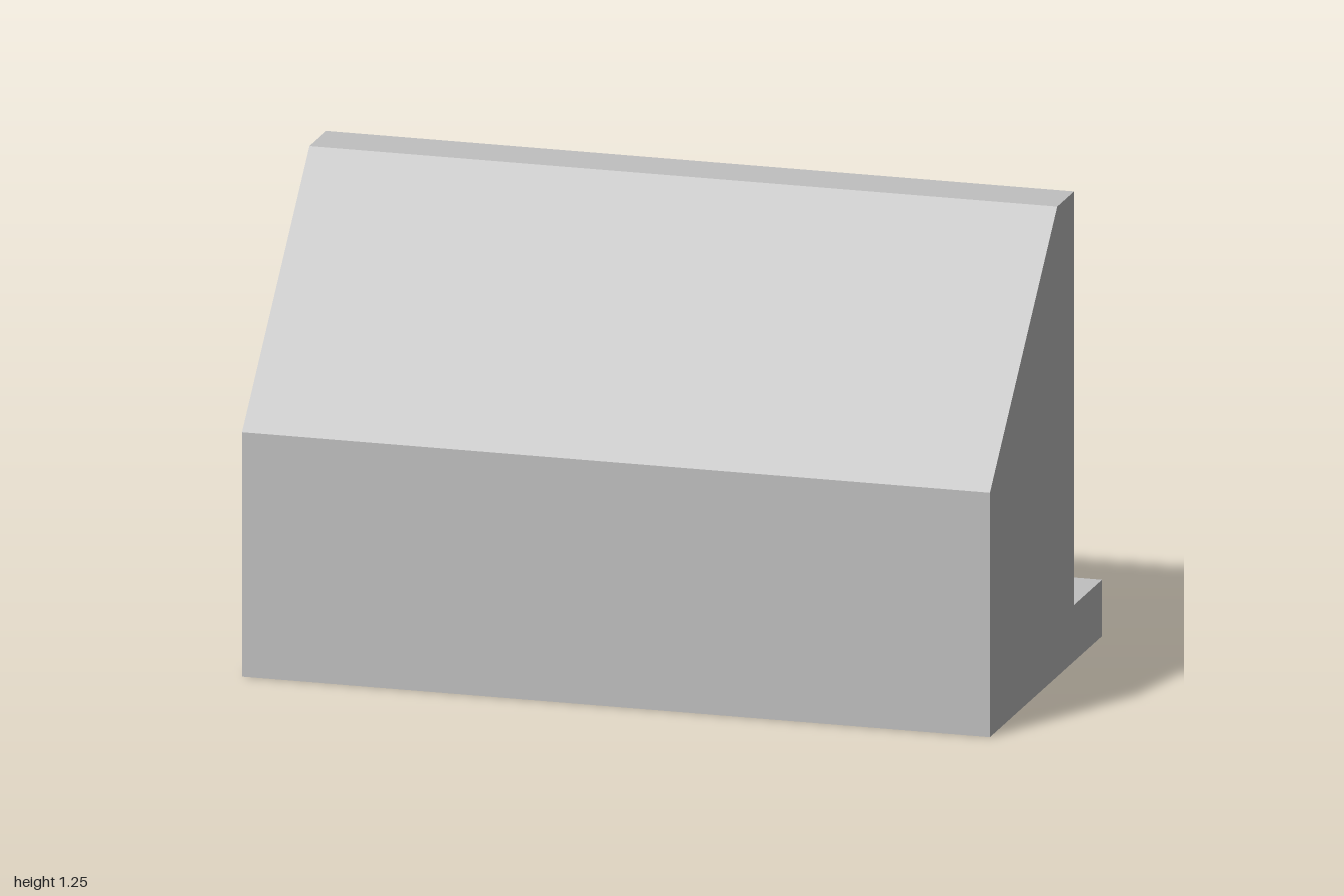
import * as THREE from 'three';

const WALL = 0.15;      // thickness of every wall
const HALF = 1;         // half of the overall width

// Outer side profile as [z, y]: ledge, back edge, top, slope, front
const outer = [
  [0.5, 0], [0.5, 0.65], [-0.1, 1.25], [-0.25, 1.25], [-0.25, 0.15], [-0.5, 0.15], [-0.5, 0],
];

// Hollow section: the outer skin followed by the cavity, open at the back
const skew = 1.15 - WALL * Math.SQRT2;    // inner slope lies on z + y = skew
const hollow = [
  [0.5, 0], [0.5, 0.65], [-0.1, 1.25], [-0.25, 1.25],
  [-0.25, 1.1], [skew - 1.1, 1.1], [0.35, skew - 0.35], [0.35, 0.15],
  [-0.5, 0.15], [-0.5, 0],
];

// Extrude a [z, y] profile across x, from x0 to x0 + width
function extrudeAcross(profile, x0, width) {
  const shape = new THREE.Shape(profile.map(([z, y]) => new THREE.Vector2(z, y)));
  const geometry = new THREE.ExtrudeGeometry(shape, { depth: width, bevelEnabled: false });
  geometry.rotateY(-Math.PI / 2);
  geometry.translate(x0 + width, 0, 0);
  return geometry;
}

export function createModel() {
  const group = new THREE.Group();
  group.name = 'hoodedBox';
  const grey = new THREE.MeshStandardMaterial({ color: 0xc0c0c0 });
  grey.name = 'light grey';

  const add = (name, geometry) => {
    const mesh = new THREE.Mesh(geometry, grey);
    mesh.name = name;
    group.add(mesh);
  };

  // Floor, front, slope and lintel in one continuous section
  add('hollowBody', extrudeAcross(hollow, -HALF + WALL, 2 * (HALF - WALL)));

  // Solid end walls closing the cavity
  add('leftEndWall', extrudeAcross(outer, HALF - WALL, WALL));
  add('rightEndWall', extrudeAcross(outer, -HALF, WALL));

  return group;
}
